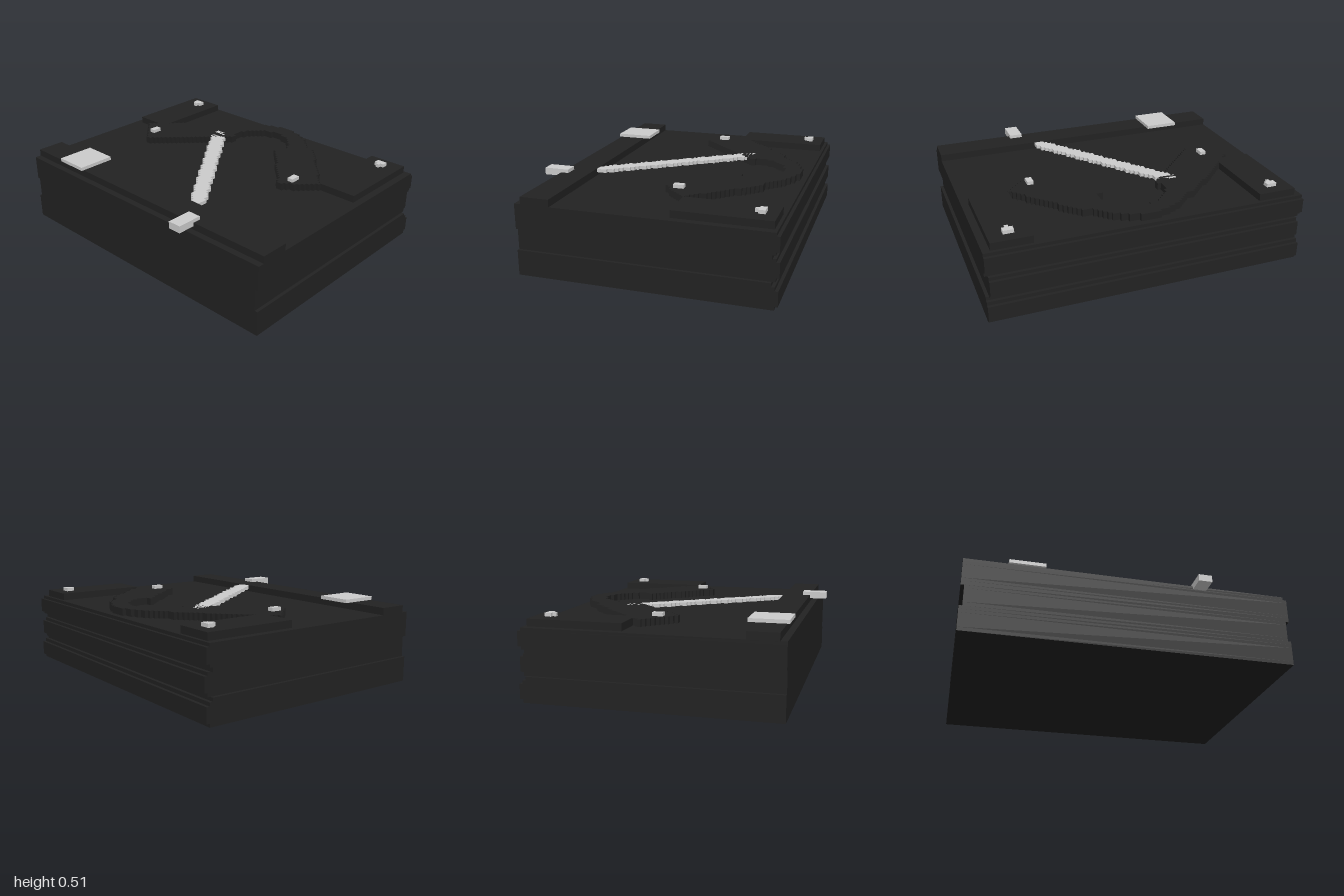
import * as THREE from 'three';
import { mergeGeometries } from 'three/addons/utils/BufferGeometryUtils.js';

const CELL = 0.0215;

// Box given by its minimum and maximum on each axis
function boxGeo(x0, x1, y0, y1, z0, z1) {
  return new THREE.BoxGeometry(x1 - x0, y1 - y0, z1 - z0)
    .translate((x0 + x1) / 2, (y0 + y1) / 2, (z0 + z1) / 2);
}

// Stepped plate: rows of blocks filling a polygon in x and z
function steppedPlate(points, y0, y1) {
  const rows = [];
  const zs = points.map(p => p[1]);
  const snap = v => Math.round(v / CELL) * CELL;
  for (let z = snap(Math.min(...zs)); z < Math.max(...zs) - CELL / 4; z += CELL) {
    const mid = z + CELL / 2;
    const cuts = [];
    points.forEach(([ax, az], i) => {
      const [bx, bz] = points[(i + 1) % points.length];
      if ((az > mid) !== (bz > mid)) cuts.push(ax + (bx - ax) * (mid - az) / (bz - az));
    });
    cuts.sort((a, b) => a - b);
    for (let i = 0; i + 1 < cuts.length; i += 2) {
      const a = snap(cuts[i]), b = snap(cuts[i + 1]);
      if (b - a > CELL / 2) rows.push(boxGeo(a, b, y0, y1, z, z + CELL));
    }
  }
  return mergeGeometries(rows);
}

export function createModel() {
  const model = new THREE.Group();
  const casing = new THREE.MeshStandardMaterial({ color: 0x222222 });
  casing.name = 'black casing';
  const metal = new THREE.MeshStandardMaterial({ color: 0xcccccc });
  metal.name = 'pale metal';

  const add = (name, geometry, material) => {
    const mesh = new THREE.Mesh(geometry, material);
    mesh.name = name;
    model.add(mesh);
  };
  const addBox = (name, material, ...b) => add(name, boxGeo(...b), material);

  // Body slabs: [bottom, top, half width, back z], giving three ribs at the back
  const slabs = [
    [0, 0.022, 1, -0.79], [0.022, 0.113, 1, -0.81], [0.113, 0.135, 1, -0.79], [0.135, 0.157, 1, -0.77],
    [0.157, 0.18, 0.98, -0.79], [0.18, 0.27, 0.98, -0.81], [0.27, 0.29, 0.98, -0.79],
    [0.29, 0.317, 1, -0.77], [0.317, 0.335, 1, -0.79], [0.335, 0.425, 1, -0.81], [0.425, 0.445, 1, -0.79],
  ];
  add('body', mergeGeometries(slabs.map(([y0, y1, w, back]) => boxGeo(-w, w, y0, y1, back, 0.74))), casing);

  // Raised front strip and rear corner plates
  addBox('frontStrip', casing, -1, 1, 0.445, 0.49, 0.52, 0.7);
  addBox('leftCornerPlate', casing, 0.71, 0.955, 0.445, 0.49, -0.77, -0.19);
  addBox('rightCornerPlate', casing, -0.955, -0.71, 0.445, 0.49, -0.77, -0.19);

  // Raised arch with two splayed arms
  const arc = (r, cz, from, to, n = 14) => Array.from({ length: n + 1 }, (_, i) => {
    const a = from + (to - from) * i / n;
    return [r * Math.cos(a), cz - r * Math.sin(a)];
  });
  const arch = [
    [-0.62, 0.06], [-0.82, -0.14], [-0.37, -0.57],
    ...arc(0.34, -0.41, Math.PI - 0.36 * Math.PI / 2, 0.36 * Math.PI / 2),
    [0.37, -0.57], [0.71, -0.18], [0.52, -0.01], [0.18, -0.4],
    ...arc(0.22, -0.42, 0, Math.PI),
    [-0.18, -0.38],
  ];
  add('arch', steppedPlate(arch, 0.445, 0.49), casing);

  // Diagonal rod held just above the lid
  const rod = [[-0.31, -0.39], [-0.25, -0.35], [0.35, 0.47], [0.35, 0.52], [0.28, 0.52], [-0.345, -0.33], [-0.345, -0.37]];
  add('diagonalRod', steppedPlate(rod, 0.468, 0.49), metal);

  // Screws on the corner plates
  for (const [name, s] of [['left', 1], ['right', -1]]) {
    const x = s * 0.833;
    add(name + 'Screw', mergeGeometries([
      boxGeo(x - 0.032, x + 0.032, 0.49, 0.512, -0.7, -0.66),
      boxGeo(x - 0.011, x + 0.011, 0.49, 0.512, -0.66, -0.638),
    ]), metal);
  }

  // Pins on the arms, square plate and front latch
  addBox('rightArmPin', metal, -0.69, -0.65, 0.49, 0.512, 0.04 - 0.14, -0.04 + 0.08 - 0.0);
  model.children.at(-1).geometry = boxGeo(-0.69, -0.65, 0.49, 0.512, -0.1, -0.035);
  addBox('leftArmPin', metal, 0.535, 0.575, 0.49, 0.512, -0.145, -0.08);
  addBox('squarePlate', metal, -0.735, -0.515, 0.49, 0.512, 0.475, 0.715);
  addBox('frontLatch', metal, 0.4, 0.485, 0.468, 0.512, 0.65, 0.81);

  return model;
}
